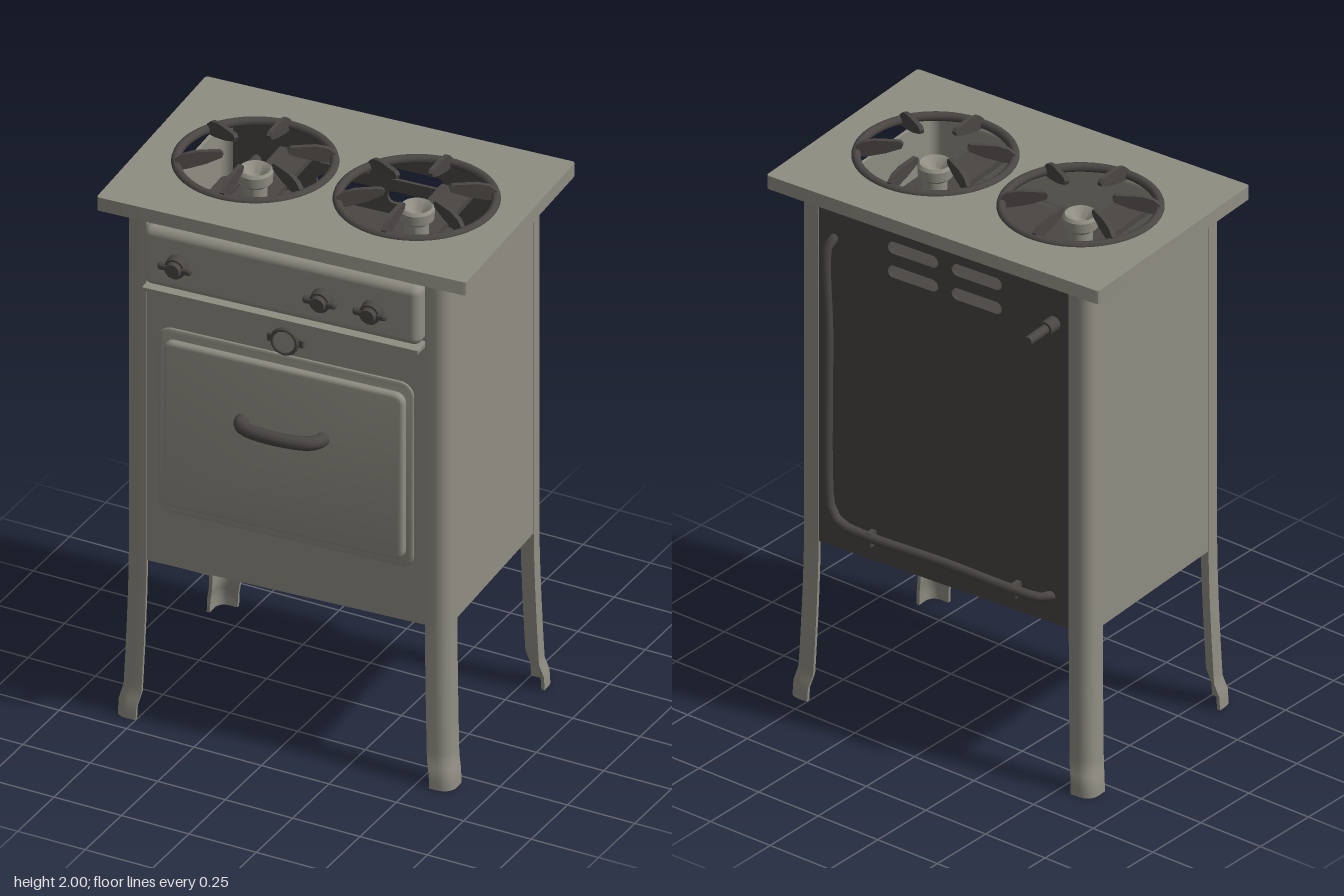
import * as THREE from 'three';
import { toCreasedNormals } from 'three/addons/utils/BufferGeometryUtils.js';
import { RoundedBoxGeometry } from 'three/addons/geometries/RoundedBoxGeometry.js';

const enamel = new THREE.MeshStandardMaterial({ color: 0x8f8d82 });
enamel.name = 'grey enamel';
const iron = new THREE.MeshStandardMaterial({ color: 0x4a4644 });
iron.name = 'dark iron';

const W = 0.58, D = 0.379; // half width and half depth over the legs

function createMesh(parent, name, geo, mat, x = 0, y = 0, z = 0) {
  const m = new THREE.Mesh(geo, mat);
  m.name = name;
  m.position.set(x, y, z);
  parent.add(m);
  return m;
}

// rounded rectangle outline centred on (cx, cy)
function roundRect(w, h, r, cx = 0, cy = 0, Type = THREE.Shape) {
  const s = new Type();
  const x = w / 2 - r, y = h / 2 - r;
  s.absarc(cx + x, cy + y, r, 0, Math.PI / 2);
  s.absarc(cx - x, cy + y, r, Math.PI / 2, Math.PI);
  s.absarc(cx - x, cy - y, r, Math.PI, Math.PI * 1.5);
  s.absarc(cx + x, cy - y, r, Math.PI * 1.5, Math.PI * 2);
  s.closePath();
  return s;
}

function extrude(shape, depth, bevel = 0, steps = 1) {
  const g = new THREE.ExtrudeGeometry(shape, {
    depth: depth - bevel, steps, curveSegments: 24, bevelEnabled: bevel > 0,
    bevelSize: bevel, bevelThickness: bevel, bevelOffset: -bevel, bevelSegments: 4,
  });
  return toCreasedNormals(g, 0.6);
}

function tube(parent, name, pts, r) {
  const curve = new THREE.CatmullRomCurve3(pts.map((p) => new THREE.Vector3(...p)), false, 'centripetal');
  return createMesh(parent, name, new THREE.TubeGeometry(curve, 40, r, 12), iron);
}

// rounded angle-section leg, splayed towards the floor with a swollen foot
function legGeometry(sx, sz) {
  const pts = [[W - 0.08, D]];
  const arc = (r, rev) => {
    for (let i = 0; i <= 6; i++) {
      const a = ((rev ? i : 6 - i) / 6) * Math.PI / 2;
      pts.push([W - 0.045 + r * Math.cos(a), D - 0.045 + r * Math.sin(a)]);
    }
  };
  arc(0.045, false);
  pts.push([W, D - 0.08], [W - 0.012, D - 0.08]);
  arc(0.033, true);
  pts.push([W - 0.08, D - 0.012]);
  const shape = new THREE.Shape(pts.map(([x, z]) => new THREE.Vector2(sx * x, -sz * z)));
  const g = new THREE.ExtrudeGeometry(shape, { depth: 1.91, steps: 76, bevelEnabled: false });
  g.rotateX(-Math.PI / 2);
  const p = g.attributes.position;
  for (let i = 0; i < p.count; i++) {
    const y = p.getY(i), t = Math.max(0, 1 - y / 0.6);
    const off = 0.017 * t ** 1.5 + 0.01 * (1 - THREE.MathUtils.smoothstep(y, 0.05, 0.1));
    p.setX(i, p.getX(i) + sx * off);
    p.setZ(i, p.getZ(i) + sz * off);
  }
  return toCreasedNormals(g, 0.6);
}

function addBurner(parent, side) {
  const b = new THREE.Group();
  b.name = side < 0 ? 'rightBurner' : 'leftBurner';
  b.position.set(side * 0.29, 0, -0.015);
  parent.add(b);
  const ring = createMesh(b, 'grateRing', new THREE.TorusGeometry(0.26, 0.016, 10, 64), iron, 0, 1.95);
  ring.rotation.x = Math.PI / 2;
  // six raised fingers pointing inwards
  const fin = new THREE.Shape([[0.262, 1.935], [0.262, 1.97], [0.24, 1.99], [0.2, 2], [0.115, 2],
    [0.105, 1.99], [0.11, 1.975], [0.16, 1.955], [0.22, 1.94]].map((q) => new THREE.Vector2(...q)));
  const finGeo = extrude(fin, 0.016).translate(0, 0, -0.008);
  for (let i = 0; i < 6; i++) {
    createMesh(b, 'grateFinger', finGeo, iron).rotation.y = Math.PI / 6 + i * Math.PI / 3;
  }
  // burner cup with a hollow centre
  const cup = [[0, 1.82], [0.04, 1.82], [0.04, 1.865], [0.058, 1.88], [0.06, 1.915], [0.052, 1.925],
    [0.035, 1.915], [0.018, 1.895], [0, 1.89]].map((q) => new THREE.Vector2(...q));
  createMesh(b, 'burnerCup', toCreasedNormals(new THREE.LatheGeometry(cup, 32), 0.6), enamel);
  createMesh(b, 'burnerSupport', new THREE.BoxGeometry(0.12, 0.02, 0.68), iron, 0, 1.81, 0.015);
}

function addKnob(parent, x) {
  const k = new THREE.Group();
  k.name = 'knob';
  k.position.set(x, 1.782, 0.42);
  parent.add(k);
  const disc = (r0, r1, h, z) => createMesh(k, 'knobDisc',
    new THREE.CylinderGeometry(r1, r0, h, 24).rotateX(Math.PI / 2), iron, 0, 0, z);
  disc(0.025, 0.025, 0.03, 0.01);
  disc(0.04, 0.036, 0.032, 0.034);
  createMesh(k, 'knobGrip', new RoundedBoxGeometry(0.122, 0.026, 0.024, 3, 0.011), iron, 0, 0, 0.042);
  disc(0.03, 0.024, 0.018, 0.056);
}

export function createModel() {
  const model = new THREE.Group();
  model.name = 'stove';
  const s = new THREE.Group();
  s.name = 'stoveBody';
  s.rotation.y = 0.064;
  model.add(s);

  // hob: sheet with two burner openings, and a skirt round the edge
  const top = roundRect(1.328, 0.857, 0.012);
  for (const side of [-1, 1]) {
    top.holes.push(new THREE.Path().absarc(side * 0.29, 0, 0.262, 0, Math.PI * 2, true));
  }
  createMesh(s, 'hobTop', extrude(top, 0.014).rotateX(-Math.PI / 2), enamel, 0, 1.939, -0.015);
  const skirt = roundRect(1.328, 0.857, 0.012);
  skirt.holes.push(roundRect(1.304, 0.833, 0.008, 0, 0, THREE.Path));
  createMesh(s, 'hobSkirt', extrude(skirt, 0.036).rotateX(-Math.PI / 2), enamel, 0, 1.903, -0.015);
  for (const side of [-1, 1]) addBurner(s, side);

  // legs and side panels
  for (const sx of [-1, 1]) {
    for (const sz of [-1, 1]) createMesh(s, sz > 0 ? 'frontLeg' : 'backLeg', legGeometry(sx, sz), enamel);
    createMesh(s, 'sidePanel', new THREE.BoxGeometry(0.012, 1.24, 0.66), enamel, sx * 0.571, 1.22, 0);
  }
  createMesh(s, 'bottomPlate', new THREE.BoxGeometry(1.13, 0.012, 0.73), iron, 0, 0.602, 0);
  createMesh(s, 'innerDeck', new THREE.BoxGeometry(1.13, 0.012, 0.73), iron, 0, 1.64, 0);

  // back panel with four vent slots
  const back = roundRect(1.06, 1.28, 0.005, 0, 1.24);
  for (const x of [-0.13, 0.125]) {
    for (const y of [1.71, 1.8]) back.holes.push(roundRect(0.2, 0.045, 0.022, x, y, THREE.Path));
  }
  createMesh(s, 'backPanel', extrude(back, 0.012), iron, 0, 0, -0.376);
  tube(s, 'backPipe', [[0.44, 1.76, -0.37], [0.445, 1.75, -0.402], [0.445, 1.4, -0.402], [0.445, 0.85, -0.402],
    [0.435, 0.76, -0.402], [0.4, 0.715, -0.402], [0.32, 0.7, -0.402], [0, 0.7, -0.402],
    [-0.42, 0.7, -0.402], [-0.43, 0.7, -0.37]], 0.017);
  for (const x of [0.28, -0.3]) {
    createMesh(s, 'pipeClip', new THREE.BoxGeometry(0.02, 0.05, 0.04), iron, x, 0.69, -0.39);
  }

  // gas inlet and supply pipes under the hob
  tube(s, 'inletPipe', [[-0.445, 1.735, -0.535], [-0.445, 1.735, -0.2], [-0.445, 1.735, 0.36]], 0.017);
  createMesh(s, 'inletCollar', new THREE.CylinderGeometry(0.026, 0.026, 0.05, 16).rotateX(Math.PI / 2), iron, -0.445, 1.735, -0.41);
  tube(s, 'manifold', [[-0.445, 1.735, 0.35], [0, 1.735, 0.35], [0.4, 1.735, 0.35]], 0.016);
  tube(s, 'rightSupply', [[-0.36, 1.76, 0.36], [-0.355, 1.76, 0.2], [-0.32, 1.77, 0.08], [-0.29, 1.81, -0.01]], 0.014);
  tube(s, 'leftSupply', [[0.16, 1.76, 0.36], [0.165, 1.76, 0.17], [0.21, 1.77, 0.06], [0.29, 1.81, -0.01]], 0.014);
  tube(s, 'ovenSupply', [[0.34, 1.76, 0.36], [0.37, 1.76, 0.17], [0.42, 1.74, 0], [0.42, 1.72, -0.35]], 0.014);

  // front panel, control box and drip lip
  createMesh(s, 'frontPanel', new THREE.BoxGeometry(1.04, 1.05, 0.012), enamel, 0, 1.122, 0.369);
  createMesh(s, 'controlBox', new RoundedBoxGeometry(0.996, 0.222, 0.1, 5, 0.03), enamel, 0, 1.778, 0.372);
  createMesh(s, 'dripLip', new THREE.BoxGeometry(0.99, 0.014, 0.07), enamel, 0, 1.652, 0.39);
  for (const x of [-0.36, 0.16, 0.34]) addKnob(s, x);

  // oven thermometer with side ears
  const bezel = createMesh(s, 'thermometerBezel', new THREE.TorusGeometry(0.044, 0.007, 8, 32), iron, 0, 1.555, 0.388);
  bezel.scale.z = 1.3;
  createMesh(s, 'thermometerFace', new THREE.CylinderGeometry(0.044, 0.044, 0.018, 32).rotateX(Math.PI / 2), enamel, 0, 1.555, 0.383);
  createMesh(s, 'thermometerEars', new RoundedBoxGeometry(0.132, 0.03, 0.012, 2, 0.005), iron, 0, 1.555, 0.379);

  // oven door on a pressed surround
  createMesh(s, 'doorSurround', extrude(roundRect(0.92, 0.7, 0.05), 0.012, 0.008), enamel, 0, 1.15, 0.369);
  createMesh(s, 'ovenDoor', extrude(roundRect(0.866, 0.626, 0.035), 0.032, 0.014), enamel, 0, 1.147, 0.372);
  tube(s, 'doorHandle', [[-0.145, 1.23, 0.395], [-0.143, 1.23, 0.42], [-0.12, 1.23, 0.448], [-0.06, 1.23, 0.465],
    [0.06, 1.23, 0.465], [0.12, 1.23, 0.448], [0.143, 1.23, 0.42], [0.145, 1.23, 0.395]], 0.024);
  return model;
}
